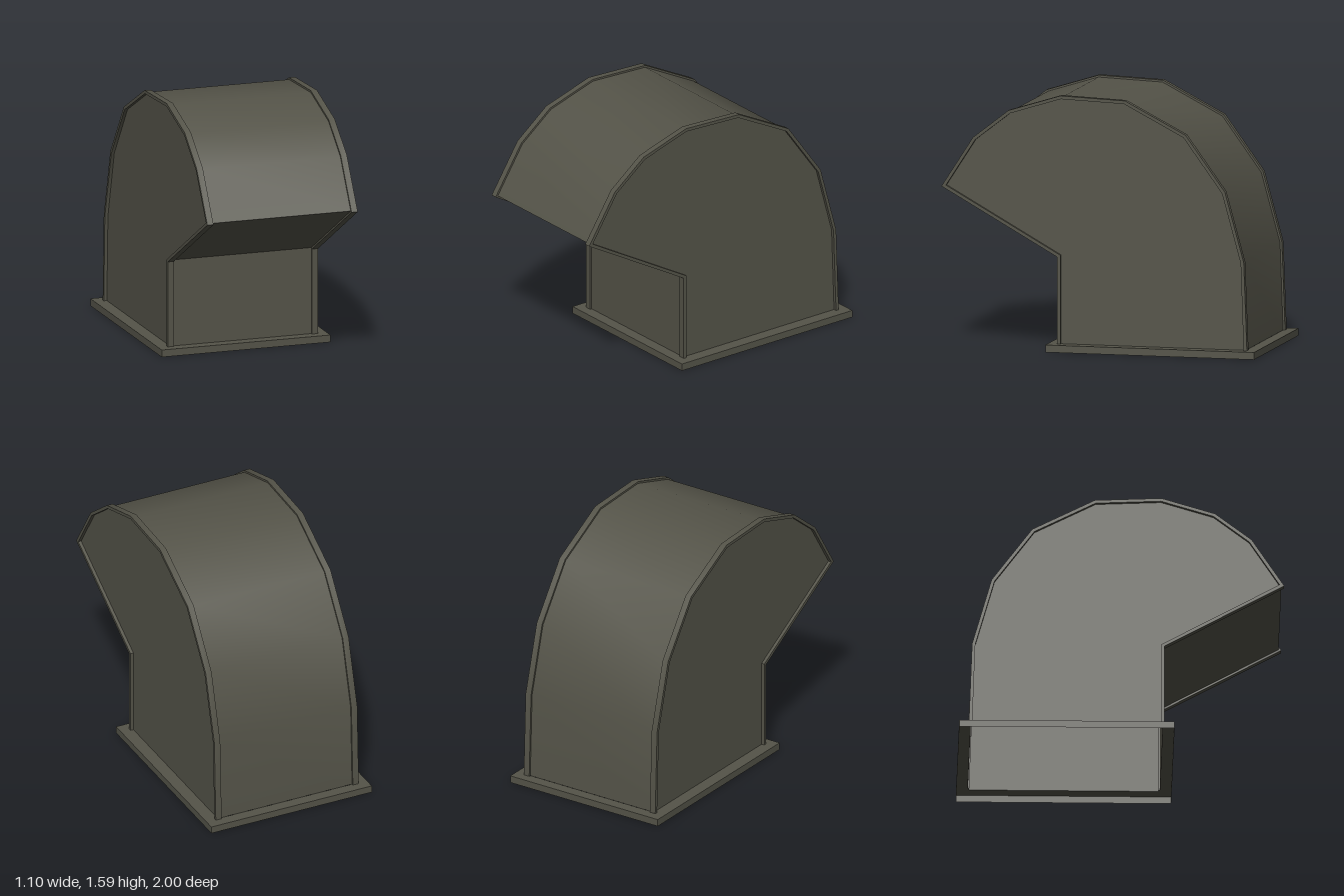
import * as THREE from 'three';
import { toCreasedNormals } from 'three/addons/utils/BufferGeometryUtils.js';

const BASE_H = 0.045;

// Side outline of the cowl as (z, y), counter-clockwise from the front foot
const OUTLINE = [
  [0.265, BASE_H], [0.265, 0.585], [1, 1], [0.8, 1.31], [0.575, 1.485], [0.245, 1.587],
  [-0.165, 1.57], [-0.55, 1.37], [-0.8, 1.025], [-0.92, 0.59], [-0.94, BASE_H],
].map(([z, y]) => new THREE.Vector2(z, y));

// Mitred inward offset that keeps both feet on the base
function inset(points, d) {
  const n = points.length;
  return points.map((p, i) => {
    const e1 = p.clone().sub(points[(i + n - 1) % n]).normalize();
    const e2 = points[(i + 1) % n].clone().sub(p).normalize();
    const n1 = new THREE.Vector2(-e1.y, e1.x);
    const n2 = new THREE.Vector2(-e2.y, e2.x);
    const q = n1.clone().add(n2).multiplyScalar(d / (1 + n1.dot(n2))).add(p);
    if (i === 0 || i === n - 1) q.y = BASE_H;
    return q;
  });
}

// Thin wall swept along local z over a path in the local xy plane
function wall(points, z0, z1) {
  const pos = [];
  for (let i = 0; i < points.length - 1; i++) {
    const a = points[i], b = points[i + 1];
    pos.push(a.x, a.y, z0, b.x, b.y, z0, b.x, b.y, z1);
    pos.push(a.x, a.y, z0, b.x, b.y, z1, a.x, a.y, z1);
  }
  const g = new THREE.BufferGeometry();
  g.setAttribute('position', new THREE.Float32BufferAttribute(pos, 3));
  return toCreasedNormals(g, 0.6);
}

export function createModel() {
  const group = new THREE.Group();
  const metal = new THREE.MeshStandardMaterial({ color: 0x545348, side: THREE.DoubleSide });
  metal.name = 'olive grey metal';

  const add = (name, geometry) => {
    const mesh = new THREE.Mesh(geometry, metal);
    mesh.name = name;
    group.add(mesh);
  };

  // Curved skin with front wall and sloping mouth, open at the bottom
  add('ductSkin', wall(inset(OUTLINE, 0.012), -0.45, 0.45).rotateY(-Math.PI / 2));

  // Raised rims and recessed side panels
  const inner = inset(OUTLINE, 0.02);
  const rimShape = new THREE.Shape([...OUTLINE, ...inner.slice().reverse()]);
  for (const [side, s] of [['left', 1], ['right', -1]]) {
    const rim = new THREE.ExtrudeGeometry(rimShape, { depth: 0.04, bevelEnabled: false });
    rim.translate(0, 0, -0.02).rotateY(-Math.PI / 2).translate(s * 0.47, 0, 0);
    add(side + 'Rim', toCreasedNormals(rim, 0.6));

    const panel = new THREE.ShapeGeometry(new THREE.Shape(inner));
    // Turn the panel so its front faces outwards
    if (s > 0) panel.setIndex(Array.from(panel.index.array).reverse());
    panel.rotateY(-Math.PI / 2).translate(s * 0.47, 0, 0);
    panel.computeVertexNormals();
    add(side + 'Panel', panel);
  }

  // Base flange: a low skirt and a top plate with the duct opening
  const rect = (x, zFront, zBack) => [[-x, -zFront], [x, -zFront], [x, -zBack], [-x, -zBack]]
    .map(([a, b]) => new THREE.Vector2(a, b));
  const edge = rect(0.55, 0.325, -1);
  add('baseSkirt', wall([...edge, edge[0]], 0, BASE_H).rotateX(-Math.PI / 2));
  const plate = new THREE.Shape(edge);
  plate.holes.push(new THREE.Path(rect(0.47, 0.253, -0.928)));
  add('basePlate', new THREE.ShapeGeometry(plate).rotateX(-Math.PI / 2).translate(0, BASE_H, 0));

  return group;
}
